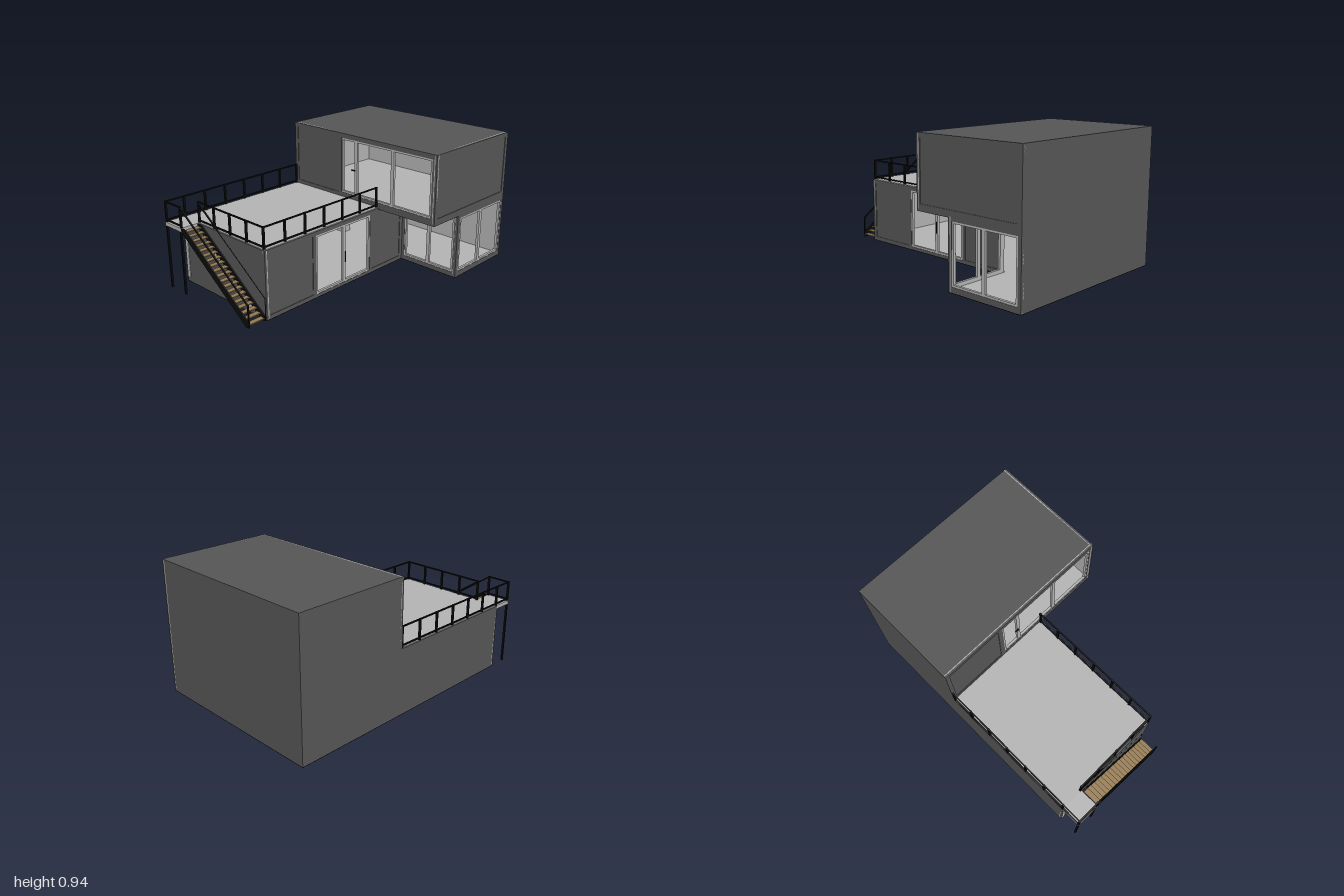
import * as THREE from 'three';

const mat = (name, color, extra = {}) => Object.assign(new THREE.MeshStandardMaterial({ color, ...extra }), { name });

export function createModel() {
  const model = new THREE.Group();
  model.name = 'containerHouse';
  const dark = mat('dark grey cladding', 0x555555);
  const light = mat('light grey lining', 0xb2b2b2);
  const black = mat('black steel', 0x0c0c0c);
  const wood = mat('wooden treads', 0x94794f);

  const group = (name, parent = model) => {
    const g = new THREE.Group();
    g.name = name;
    parent.add(g);
    return g;
  };
  const add = (name, geo, m, parent = model) => {
    const mesh = new THREE.Mesh(geo, m);
    mesh.name = name;
    parent.add(mesh);
    return mesh;
  };
  // Box given by its limits
  const slab = (name, m, x0, x1, y0, y1, z0, z1, parent = model) => {
    const mesh = add(name, new THREE.BoxGeometry(x1 - x0, y1 - y0, z1 - z0), m, parent);
    mesh.position.set((x0 + x1) / 2, (y0 + y1) / 2, (z0 + z1) / 2);
    return mesh;
  };
  // Square bar between two points
  const bar = (name, a, b, t, parent) => {
    const p = new THREE.Vector3(...a), q = new THREE.Vector3(...b);
    const mesh = add(name, new THREE.BoxGeometry(t, t, p.distanceTo(q)), black, parent);
    mesh.position.copy(p).add(q).multiplyScalar(0.5);
    mesh.lookAt(q);
    return mesh;
  };
  // Plate with rectangular holes; rectangles are [u0, u1, v0, v1]
  const corners = ([a, b, c, d]) => [[a, c], [b, c], [b, d], [a, d]].map(p => new THREE.Vector2(...p));
  const plate = (rect, holes, depth) => {
    const shape = new THREE.Shape(corners(rect));
    holes.forEach(h => shape.holes.push(new THREE.Path(corners(h).reverse())));
    return new THREE.ExtrudeGeometry(shape, { depth, bevelEnabled: false });
  };

  // Wall with recessed panels and framed openings. Outer face is local z = 0.
  // A side wall is turned to face +x, so that u = -z.
  const wall = (name, side, face, rect, panels = [], windows = []) => {
    const g = group(name);
    const openings = windows.map(w => w.rect);
    add('cladding', plate(rect, [...panels, ...openings], 0.014), dark, g).position.z = -0.014;
    add('lining', plate(rect, openings, 0.006), light, g).position.z = -0.02;
    panels.forEach(([a, b, c, d]) => slab('recessedPanel', dark, a, b, c, d, -0.014, -0.004, g));
    windows.forEach(({ rect: [a, b, c, d], splits }) => {
      const edges = [a, ...splits, b];
      for (let i = 0; i + 1 < edges.length; i++) {
        const p = [edges[i], edges[i + 1], c, d];
        const f = 0.013;
        add('windowFrame', plate(p, [[p[0] + f, p[1] - f, c + f, d - f]], 0.018), light, g).position.z = -0.02;
      }
    });
    if (side) {
      g.rotation.y = Math.PI / 2;
      g.position.x = face;
    } else g.position.z = face;
    return g;
  };

  // Lower storey, L-shaped in plan
  const low = [0.004, 0.466];
  wall('stairEndWall', false, 0.86, [-0.655, 0.175, ...low]);
  wall('terraceSideWall', true, 0.175, [-0.86, 0.44, ...low],
    [[-0.83, -0.46, 0.03, 0.44], [0.11, 0.41, 0.03, 0.44]],
    [{ rect: [-0.43, 0.085, 0.025, 0.44], splits: [-0.17] }]);
  wall('lowerFrontWall', false, -0.44, [0.175, 0.655, ...low], [],
    [{ rect: [0.2, 0.625, 0.035, 0.435], splits: [0.41] }]);
  wall('lowerRightWall', true, 0.655, [0.44, 1, ...low], [],
    [{ rect: [0.47, 0.975, 0.04, 0.44], splits: [0.72] }]);
  slab('doorHandle', black, 0.175, 0.182, 0.17, 0.25, 0.16, 0.166);

  // Upper storey, crossing over the lower one
  const high = [0.472, 0.94];
  wall('upperFrontWall', false, -0.17, [-0.655, 0.655, ...high], [[-0.625, -0.21, 0.5, 0.91]],
    [{ rect: [-0.175, 0.62, 0.505, 0.907], splits: [-0.04, 0.29] }]);
  wall('upperRightWall', true, 0.655, [0.17, 1, ...high], [[0.2, 0.97, 0.505, 0.91]]);
  slab('upperDoorHandle', black, -0.075, -0.045, 0.688, 0.694, -0.172, -0.16);

  // Plain back and left walls with their linings
  slab('backWall', dark, -0.655, 0.655, 0.004, 0.94, -1, -0.986);
  slab('backLining', light, -0.635, 0.635, 0.01, 0.93, -0.986, -0.98);
  slab('lowerLeftWall', dark, -0.655, -0.641, 0.004, 0.466, -1, 0.86);
  slab('lowerLeftLining', light, -0.641, -0.635, 0.01, 0.46, -0.98, 0.84);
  slab('upperLeftWall', dark, -0.655, -0.641, 0.466, 0.94, -1, -0.17);
  slab('upperLeftLining', light, -0.641, -0.635, 0.472, 0.93, -0.98, -0.19);

  // Floors, ceilings and roofs
  const wings = [[-0.655, 0.655, -1, -0.44], [-0.655, 0.175, -0.44, 0.86]];
  wings.forEach(([a, b, c, d]) => {
    slab('groundPlate', black, a, b, 0, 0.004, c, d);
    const e = 0.016;
    const z0 = c === -1 ? c + e : c - e;
    slab('lowerFloor', light, a + e, b - e, 0.004, 0.022, z0, d - e);
    slab('lowerCeiling', light, a + e, b - e, 0.448, 0.456, z0, d - e);
  });
  slab('upperFloorBase', dark, -0.655, 0.655, 0.458, 0.474, -1, -0.17);
  slab('upperFloor', light, -0.64, 0.64, 0.474, 0.49, -0.985, -0.186);
  slab('upperCeiling', light, -0.64, 0.64, 0.918, 0.925, -0.985, -0.186);
  slab('upperRoof', dark, -0.654, 0.654, 0.925, 0.94, -0.999, -0.171);
  slab('terraceBase', dark, -0.655, 0.175, 0.456, 0.468, -0.17, 0.86);
  slab('terraceDeck', light, -0.65, 0.17, 0.468, 0.473, -0.17, 0.855);

  // Pale patches on the stair end wall
  slab('paleEdgeStrip', light, -0.652, -0.622, 0.035, 0.445, 0.858, 0.863);
  [[-0.32, 0.27, 0.085, 0.06], [0.005, 0.035, 0.085, 0.06]].forEach(([x, y, w, h]) => {
    const s = new THREE.Shape([[x, y], [x + w, y], [x, y + h]].map(p => new THREE.Vector2(...p)));
    add('palePatch', new THREE.ExtrudeGeometry(s, { depth: 0.004, bevelEnabled: false }), light).position.z = 0.859;
  });

  // Landing on two posts
  const landing = group('stairLanding');
  slab('landingSlab', light, -0.655, -0.48, 0.447, 0.473, 0.855, 1, landing);
  [-0.648, -0.492].forEach(x => bar('landingPost', [x, 0, 0.992], [x, 0.46, 0.992], 0.013, landing));

  // Railings: rails along each run, posts at the listed positions
  const railing = (name, a, b, posts) => {
    const g = group(name);
    [0.487, 0.614].forEach(y => bar('rail', [a[0], y, a[1]], [b[0], y, b[1]], 0.009, g));
    posts.forEach(t => {
      const x = a[0] + (b[0] - a[0]) * t, z = a[1] + (b[1] - a[1]) * t;
      bar('railingPost', [x, 0.472, z], [x, 0.618, z], 0.013, g);
    });
  };
  const even = n => Array.from({ length: n + 1 }, (_, i) => i / n);
  railing('leftRailing', [-0.648, 0.85], [-0.648, -0.164], even(6));
  railing('rightRailing', [0.16, 0.85], [0.16, -0.164], even(6));
  railing('frontRailing', [-0.485, 0.85], [0.16, 0.85], even(4));
  railing('landingSideRailing', [-0.648, 0.992], [-0.648, 0.85], [0]);
  railing('landingFrontRailing', [-0.648, 0.992], [-0.485, 0.992], [0, 1]);

  // Outside stair: stringers, open treads and handrails
  const stair = group('outsideStair');
  const profile = [[-0.485, 0.47], [-0.44, 0.47], [0.165, 0.035], [0.165, 0], [0.14, 0], [-0.485, 0.45]];
  const stringer = new THREE.ExtrudeGeometry(
    new THREE.Shape(profile.map(p => new THREE.Vector2(...p))), { depth: 0.009, bevelEnabled: false });
  [0.864, 0.989].forEach(z => { add('stringer', stringer, black, stair).position.z = z; });
  [0.856, 0.993].forEach(z => {
    bar('handrail', [-0.485, 0.614, z], [0.163, 0.15, z], 0.009, stair);
    bar('handrailPost', [0.163, 0, z], [0.163, 0.154, z], 0.009, stair);
  });
  const steps = 19;
  for (let i = 0; i < steps; i++) {
    const x = 0.147 - i * 0.0335, y = 0.02 + i * 0.0241;
    slab('tread', wood, x - 0.018, x + 0.018, y - 0.005, y + 0.002, 0.872, 0.99, stair);
  }

  // Inside stair rising towards the back wall
  const inner = group('insideStair');
  for (let i = 0; i < 3; i++) slab('startStep', light, -0.63, -0.45, 0.022, 0.05 + i * 0.028, -0.555, -0.48 - i * 0.02, inner);
  for (let i = 0; i < 12; i++) {
    const z = -0.56 - i * 0.033, y = 0.12 + i * 0.027;
    slab('insideTread', light, -0.63, -0.45, y - 0.008, y, z - 0.033, z, inner);
  }
  [[[0.1, -0.555], [0.215, -0.555]], [[0.215, -0.555], [0.44, -0.83]], [[0.12, -0.555], [0.44, -0.96]]].forEach(([a, b]) => {
    bar('insideRail', [-0.45, ...a], [-0.45, ...b], 0.009, inner).material = light;
  });

  return model;
}
